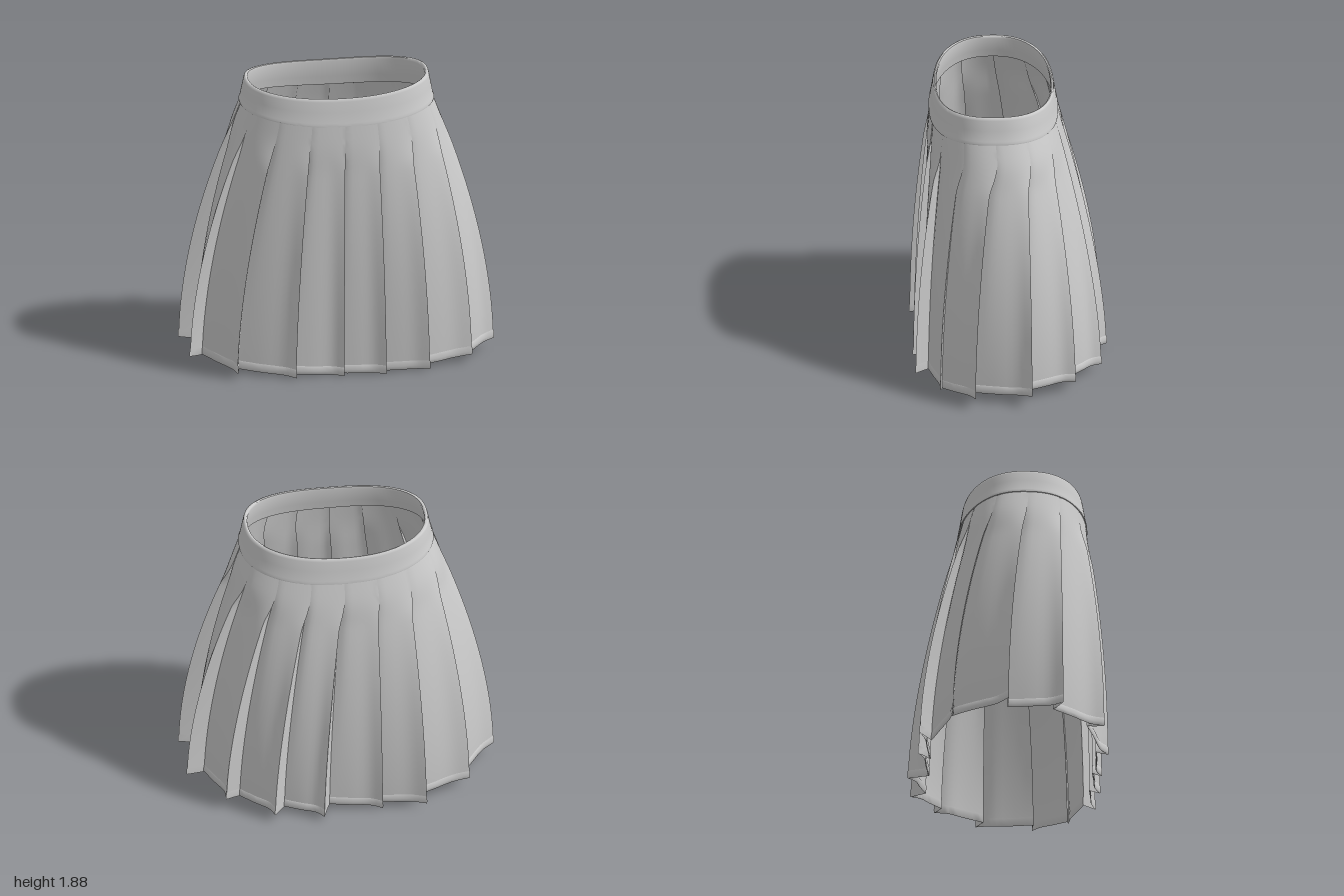
import * as THREE from 'three';
import { toCreasedNormals } from 'three/addons/utils/BufferGeometryUtils.js';

// Hem outline, one row per pleat: outer fold x, z, then the tuck hidden behind the next fold x, z
const PLEATS = [
  [0.53, 0.60, 0.21, 0.54], [0.25, 0.61, -0.06, 0.54], [-0.02, 0.60, -0.36, 0.54], [-0.33, 0.62, -0.69, 0.46],
  [-0.70, 0.57, -0.88, 0.23], [-0.965, 0.29, -0.88, -0.06], [-0.99, -0.06, -0.71, -0.40], [-0.79, -0.40, -0.39, -0.51],
  [-0.49, -0.59, -0.13, -0.50], [-0.21, -0.58, 0.12, -0.49], [0.17, -0.62, 0.41, -0.49], [0.48, -0.58, 0.68, -0.37],
  [0.77, -0.41, 0.87, -0.09], [0.985, -0.13, 0.87, 0.23], [0.99, 0.23, 0.78, 0.44], [0.82, 0.45, 0.46, 0.52],
];
const COUNT = PLEATS.length;
const STEPS = 13;          // columns per pleat
const FOLD = 11;           // column of the tuck inside a pleat
const TUCK_U = 1.07;       // where the tuck meets the waist, just past the next fold
const CENTRE = new THREE.Vector3(0, 0, 0.095);
const { lerp, smoothstep } = THREE.MathUtils;

// Rounded loop around the body, running from the front centre towards -x
function bodyLoop(a, b, z = CENTRE.z) {
  const pts = [];
  const soft = (t) => Math.sign(t) * Math.abs(t) ** 0.84;
  for (let i = 0; i < 48; i++) {
    const t = (i / 48) * Math.PI * 2;
    pts.push(new THREE.Vector3(-a * soft(Math.sin(t)), 0, z + b * soft(Math.cos(t))));
  }
  const curve = new THREE.CatmullRomCurve3(pts, true);
  curve.arcLengthDivisions = 600;
  return curve;
}

const seamY = (x) => 1.665 + 0.05 * (x / 0.62) ** 2;
const topY = (x) => 1.84 + 0.042 * (x / 0.59) ** 2 + 0.015 * x;

// Closed strip of cols x rows points, columns around and rows downwards
function strip(name, cols, rows, pointAt, crease, material) {
  const pos = [], index = [];
  for (let j = 0; j < rows; j++)
    for (let i = 0; i < cols; i++) pos.push(...pointAt(i, j).toArray());
  for (let j = 0; j < rows - 1; j++)
    for (let i = 0; i < cols; i++) {
      const n = (i + 1) % cols, a = j * cols + i, b = j * cols + n;
      index.push(a, b, a + cols, b, b + cols, a + cols);
    }
  const geo = new THREE.BufferGeometry();
  geo.setAttribute('position', new THREE.Float32BufferAttribute(pos, 3));
  geo.setIndex(index);
  const mesh = new THREE.Mesh(toCreasedNormals(geo, crease), material);
  mesh.name = name;
  return mesh;
}

// Waist, unpleated hem and pleated hem points for every column
function pleatColumns() {
  const waist = bodyLoop(0.615, 0.405);
  const plain = bodyLoop(0.96, 0.585, 0);
  const inward = (p, d) => p.addScaledVector(CENTRE.clone().sub(p).normalize(), d);
  const columns = [];
  PLEATS.forEach(([tx, tz, vx, vz], p) => {
    const tip = new THREE.Vector3(tx, 0, tz);
    const tuck = new THREE.Vector3(vx, 0, vz);
    const next = new THREE.Vector3(PLEATS[(p + 1) % COUNT][0], 0, PLEATS[(p + 1) % COUNT][1]);
    const face = new THREE.CatmullRomCurve3([
      tip,
      inward(tip.clone().lerp(tuck, 0.22), 0.024),
      inward(tip.clone().lerp(tuck, 0.6), 0.01),
      tuck,
    ]);
    for (let k = 0; k < STEPS; k++) {
      const t = k / FOLD;
      const back = (k - FOLD) / (STEPS - FOLD);
      const onFace = k <= FOLD;
      const hem = onFace ? face.getPoint(t) : inward(tuck.clone().lerp(next, back), 0.008);
      const u = onFace ? t * TUCK_U : TUCK_U + (1 - TUCK_U) * back;
      const around = (((p - 2 + u) / COUNT) + 1) % 1;
      columns.push({
        hem,
        waist: waist.getPointAt(around),
        plain: plain.getPointAt(around),
        tuck: onFace ? smoothstep(t, 0.85, 1) : 1 - back,
      });
    }
  });
  return columns;
}

// Point on the skirt: v = 0 at the waist seam, 1 at the hem; out pushes it outwards
function skirtPoint(col, v, out = 0) {
  // Stitched flat near the waist, then opening into loose folds
  const open = smoothstep(v, 0.05, 0.2);
  const target = col.plain.clone().lerp(col.hem, open);
  // The front falls straighter from the hip than the back
  const facing = col.plain.clone().normalize();
  const flareX = 1 - (1 - v) ** (1.5 + 0.3 * facing.x ** 2);
  const flareZ = 1 - (1 - v) ** (1.8 + 0.2 * facing.z);
  const p = new THREE.Vector3(lerp(col.waist.x, target.x, flareX), 0, lerp(col.waist.z, target.z, flareZ));
  const hemY = 0.008 + 0.075 * col.hem.x ** 2 + (col.hem.z < 0 ? 0.03 * Math.min(1, -col.hem.z * 3) : 0);
  const radial = p.clone().sub(CENTRE).normalize();
  const pinch = col.tuck * (0.008 + 0.016 * open) * (1 - v);
  p.addScaledVector(radial, out - pinch);
  p.y = lerp(seamY(col.waist.x), hemY, v);
  return p;
}

export function createModel() {
  const skirt = new THREE.Group();
  skirt.name = 'pleatedSkirt';
  const cloth = new THREE.MeshStandardMaterial({ color: 0xcccccc, roughness: 0.85, side: THREE.DoubleSide });

  // Pleated body
  const columns = pleatColumns();
  const rows = 44;
  skirt.add(strip('pleats', columns.length, rows,
    (i, j) => skirtPoint(columns[i], j / (rows - 1)), 0.7, cloth));

  // Turned-up hem: [height along the skirt, outward offset]
  const hem = [[0.966, 0], [0.969, 0.003], [0.985, 0.005], [0.997, 0.004], [1, 0], [0.997, -0.004], [0.966, -0.003]];
  skirt.add(strip('hem', columns.length, hem.length,
    (i, j) => skirtPoint(columns[i], hem[j][0], hem[j][1]), 0.7, cloth));

  // Waistband: [half width, half depth, height from seam 0 to top 1], inside up and over, then down
  const band = [
    [0.596, 0.386, -0.02], [0.585, 0.378, 0.3], [0.564, 0.362, 0.9], [0.567, 0.365, 0.98], [0.576, 0.373, 1.0],
    [0.586, 0.381, 0.97], [0.591, 0.385, 0.88], [0.603, 0.396, 0.5], [0.616, 0.407, 0.1],
    [0.622, 0.411, 0.02], [0.621, 0.411, -0.03], [0.610, 0.400, -0.05],
  ];
  const loops = band.map(([a, b]) => bodyLoop(a, b));
  const around = 128;
  skirt.add(strip('waistband', around, band.length, (i, j) => {
    const p = loops[j].getPointAt(i / around);
    p.y = lerp(seamY(p.x), topY(p.x), band[j][2]);
    return p;
  }, 0.9, cloth));

  return skirt;
}
